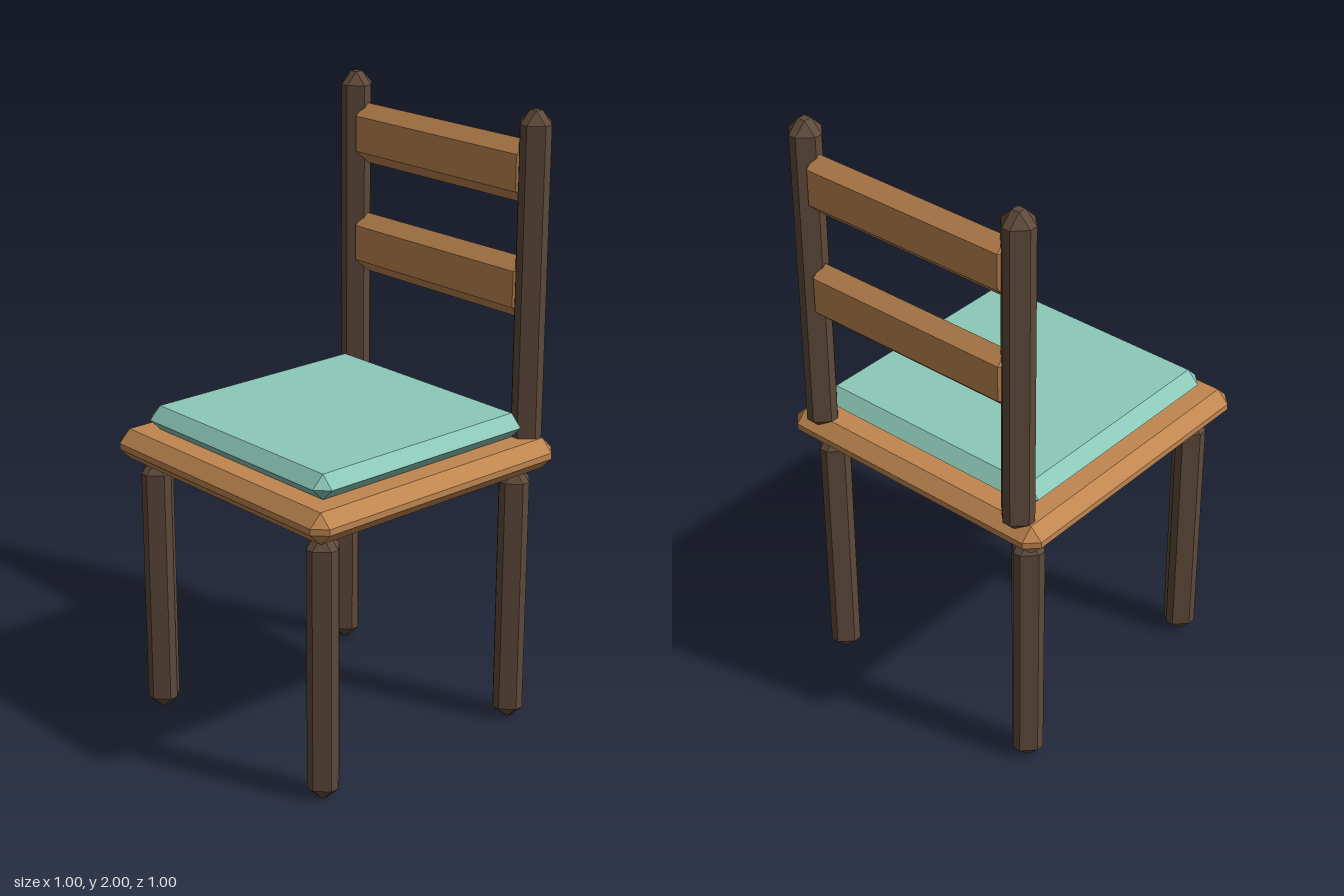
import * as THREE from 'three';
import { ConvexGeometry } from 'three/addons/geometries/ConvexGeometry.js';

// Box with every edge cut at 45 degrees and triangular corners
function chamferBox(w, h, d, c) {
  const points = [];
  const half = [w / 2, h / 2, d / 2];
  for (const sx of [-1, 1]) for (const sy of [-1, 1]) for (const sz of [-1, 1]) {
    const signs = [sx, sy, sz];
    for (let outer = 0; outer < 3; outer++) {
      const p = half.map((s, i) => signs[i] * (i === outer ? s : Math.max(0, s - c)));
      points.push(new THREE.Vector3(...p));
    }
  }
  return new ConvexGeometry(points);
}

export function createModel() {
  const group = new THREE.Group();
  const material = (name, color) => {
    const m = new THREE.MeshStandardMaterial({ color });
    m.name = name;
    return m;
  };
  const darkWood = material('dark wood', 0x5e4a3a);
  const wood = material('light wood', 0xc08650);
  const fabric = material('teal fabric', 0x8cc8b8);

  const add = (name, geometry, mat, x, y, z) => {
    const mesh = new THREE.Mesh(geometry, mat);
    mesh.name = name;
    mesh.position.set(x, y, z);
    group.add(mesh);
  };

  // Legs and back posts
  const legGeometry = chamferBox(0.107, 0.87, 0.107, 0.04);
  const postGeometry = chamferBox(0.107, 1.07, 0.107, 0.04);
  for (const [side, x] of [['left', 0.4], ['right', -0.4]]) {
    add(side + 'FrontLeg', legGeometry, darkWood, x, 0.435, 0.4);
    add(side + 'BackLeg', legGeometry, darkWood, x, 0.435, -0.4);
    add(side + 'BackPost', postGeometry, darkWood, x, 1.465, -0.447);
  }

  // Seat board and cushion
  add('seat', chamferBox(1, 0.1, 1, 0.04), wood, 0, 0.92, 0);
  add('cushion', chamferBox(0.86, 0.08, 0.86, 0.04), fabric, 0, 1.01, 0);

  // Back slats, ends set into the posts
  const slatGeometry = chamferBox(0.8, 0.196, 0.08, 0.04);
  add('upperSlat', slatGeometry, wood, 0, 1.805, -0.449);
  add('lowerSlat', slatGeometry, wood, 0, 1.44, -0.449);

  return group;
}
